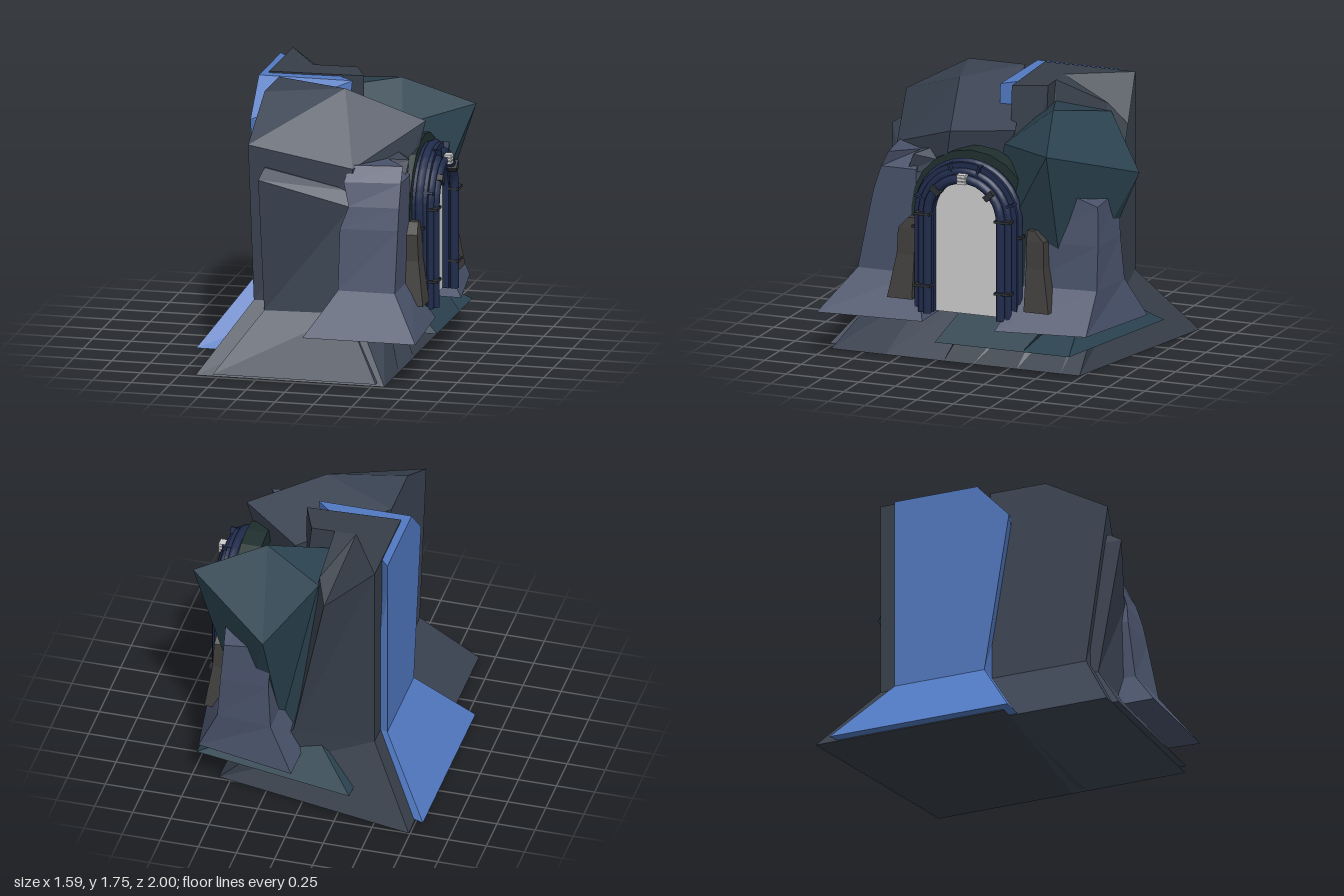
import * as THREE from 'three';

const mat = (color, smooth) => new THREE.MeshStandardMaterial({ color, flatShading: !smooth, side: THREE.DoubleSide });
const slate = mat(0x3b4453), darkSlate = mat(0x363e49), pale = mat(0x49526a), teal = mat(0x2a414e);
const blue = mat(0x5179c2), mossy = mat(0x1f2f2e), stone = mat(0x403e3c), iron = mat(0x2b2e34);
const navy = mat(0x202c4c), navyRound = mat(0x202c4c, true), grey = mat(0xcccccc);

function add(root, name, geometry, material) {
  const mesh = new THREE.Mesh(geometry, material);
  mesh.name = name;
  root.add(mesh);
}

// Ring of corners at one height, given as [x, z] or [x, z, own y]
const ring = (y, ...pts) => pts.map(([x, z, py = y]) => [x, py, z]);

// Faceted rock: joins rings from the ground up and closes both ends with a fan
function rock(rings, apex) {
  const out = [], n = rings[0].length;
  const centre = r => [0, 1, 2].map(k => r.reduce((s, p) => s + p[k], 0) / n);
  const tri = (...p) => p.forEach(q => out.push(...q));
  for (let r = 0; r + 1 < rings.length; r++) {
    const lo = rings[r], hi = rings[r + 1];
    for (let i = 0; i < n; i++) {
      const j = (i + 1) % n;
      tri(lo[i], lo[j], hi[j]);
      tri(lo[i], hi[j], hi[i]);
    }
  }
  const first = rings[0], last = rings[rings.length - 1];
  const low = centre(first), top = apex || centre(last);
  for (let i = 0; i < n; i++) {
    const j = (i + 1) % n;
    tri(first[j], first[i], low);
    tri(last[i], last[j], top);
  }
  const g = new THREE.BufferGeometry();
  g.setAttribute('position', new THREE.Float32BufferAttribute(out, 3));
  g.computeVertexNormals();
  return g;
}

// Arch outline: straight legs with a half circle on top
const SPRING = 1.0, FOOT = 0.35;
function archShape(r, inner) {
  const s = new THREE.Shape();
  s.moveTo(r, FOOT);
  s.lineTo(r, SPRING);
  s.absarc(0, SPRING, r, 0, Math.PI, false);
  s.lineTo(-r, FOOT);
  if (inner) {
    s.lineTo(-inner, FOOT);
    s.lineTo(-inner, SPRING);
    s.absarc(0, SPRING, inner, Math.PI, 0, true);
    s.lineTo(inner, FOOT);
  }
  s.closePath();
  return s;
}

function arch(r, inner, x0, x1, segments = 12) {
  return new THREE.ExtrudeGeometry(archShape(r, inner), { depth: x1 - x0, bevelEnabled: false, curveSegments: segments })
    .rotateY(Math.PI / 2).translate(x0, 0, 0);
}

function archTube(R, r, x) {
  const path = new THREE.CurvePath();
  const v = (y, z) => new THREE.Vector3(x, y, z);
  const arc = [];
  for (let i = 0; i <= 16; i++) {
    const a = Math.PI * i / 16;
    arc.push(v(SPRING + R * Math.sin(a), R * Math.cos(a)));
  }
  path.add(new THREE.LineCurve3(v(FOOT, R), arc[0]));
  for (let i = 0; i < 16; i++) path.add(new THREE.LineCurve3(arc[i], arc[i + 1]));
  path.add(new THREE.LineCurve3(arc[16], v(FOOT, -R)));
  return new THREE.TubeGeometry(path, 64, r, 8, false);
}

export function createModel() {
  const group = new THREE.Group(), rocks = new THREE.Group(), gate = new THREE.Group();
  rocks.name = 'rocks';
  gate.name = 'gate';
  group.add(rocks, gate);

  // Large rock masses with flared feet
  add(rocks, 'blueRock', rock([
    ring(0.01, [-0.8, -0.88], [-0.8, 0.35], [0.4, 0.35], [0.2, -0.5]),
    ring(0.44, [-0.48, -0.57], [-0.48, 0.05], [0.3, 0], [-0.3, -0.5]),
    ring(1.49, [-0.48, -0.57], [-0.48, 0.22], [0.1, 0.02, 1.42], [-0.42, -0.5]),
    ring(1.725, [-0.48, -0.57], [-0.48, 0], [0.13, 0], [-0.42, -0.5]),
  ]), blue);

  add(rocks, 'backRock', rock([
    ring(0, [-0.74, -1], [-0.74, 0.3], [0.58, 0.3], [0.58, 0], [0.58, -0.3], [0.58, -0.6], [0.58, -0.73]),
    ring(0.44, [-0.43, -0.69], [-0.43, -0.07], [0.2, -0.07], [0.22, -0.31], [0.18, -0.4], [0.12, -0.6], [0.1, -0.7]),
    ring(1.735, [-0.43, -0.69], [-0.43, -0.07], [0.18, -0.1], [0.09, -0.31], [-0.06, -0.3], [-0.06, -0.66, 1.62], [-0.12, -0.77, 1.48]),
  ], [-0.2, 1.735, -0.3]), darkSlate);

  add(rocks, 'frontRock', rock([
    ring(0, [-0.65, 0.3], [-0.65, 0.6], [-0.65, 0.97], [0.58, 0.97], [0.58, 0.6], [0.58, 0.2]),
    ring(0.44, [-0.34, 0.03], [-0.34, 0.4], [-0.34, 0.69], [0.3, 0.66], [0.42, 0.35], [0.34, 0.02]),
    ring(1.73, [-0.34, 0.03], [-0.34, 0.41], [-0.34, 0.84, 1.49], [0.29, 0.64, 1.32], [0.64, 0.13, 1.53], [0.24, -0.15, 1.46]),
  ], [0.15, 1.745, 0.27]), slate);

  add(rocks, 'tealRock', rock([
    ring(0.16, [-0.33, -0.93], [-0.33, 0.15], [0.73, 0.2], [0.73, -0.4], [0.73, -0.72]),
    ring(0.42, [0, -0.62], [0, 0], [0.45, 0.05], [0.45, -0.58], [0.2, -0.62]),
    ring(1.5, [-0.06, -0.68, 1.57], [-0.06, -0.3, 1.6], [0.42, -0.15, 1.42], [0.79, -0.59, 1.47], [0.22, -0.99, 1.27]),
  ], [0.34, 1.65, -0.45]), teal);

  // Buttress against the front rock
  add(rocks, 'frontButtress', rock([
    ring(0.02, [-0.53, 0.4], [-0.53, 1], [0.53, 1], [0.53, 0.4]),
    ring(0.39, [-0.26, 0.45], [-0.26, 0.74], [0.27, 0.7], [0.27, 0.45]),
    ring(1.28, [-0.26, 0.5], [-0.26, 0.9], [0.29, 0.68, 1.08], [0.29, 0.5, 1.08]),
    ring(1.34, [-0.26, 0.5], [-0.24, 0.81], [0.29, 0.62, 1.17], [0.29, 0.5, 1.17]),
  ]), slate);

  // Pillars on both sides of the gate
  add(rocks, 'leftPillar', rock([
    ring(0.29, [0.05, 0.3], [0.05, 0.985], [0.785, 0.985], [0.74, 0.28]),
    ring(0.56, [0.23, 0.45], [0.23, 0.78], [0.6, 0.78], [0.6, 0.38]),
    ring(0.95, [0.23, 0.45], [0.23, 0.73], [0.6, 0.7], [0.6, 0.38]),
    ring(1.09, [0.28, 0.42], [0.28, 0.7], [0.6, 0.67], [0.6, 0.38]),
    ring(1.24, [0.23, 0.4], [0.24, 0.67], [0.6, 0.62], [0.6, 0.38]),
    ring(1.34, [0.27, 0.4], [0.27, 0.62], [0.6, 0.57], [0.46, 0.4]),
  ]), pale);
  add(rocks, 'leftPillarCap', rock([
    ring(1.22, [0.3, 0.3], [0.3, 0.45], [0.58, 0.45], [0.58, 0.32]),
    ring(1.34, [0.3, 0.26, 1.3], [0.3, 0.42], [0.6, 0.4], [0.56, 0.25, 1.31]),
  ], [0.5, 1.37, 0.31]), slate);
  add(rocks, 'rightPillar', rock([
    ring(0.29, [0.04, -0.97], [0.04, -0.28], [0.78, -0.23], [0.69, -0.82]),
    ring(0.56, [0.2, -0.88], [0.2, -0.42], [0.61, -0.36], [0.56, -0.84]),
    ring(0.85, [0.22, -0.86], [0.22, -0.42], [0.61, -0.38], [0.54, -0.84]),
    ring(1.27, [0.2, -0.84, 1.14], [0.25, -0.42], [0.6, -0.42], [0.52, -0.83, 1.1]),
  ]), pale);

  // Mossy hood, door panel and moulded frame
  add(gate, 'hood', arch(0.41, 0.3, 0.47, 0.605, 5), mossy);
  add(gate, 'doorPanel', arch(0.24, 0, 0.65, 0.66), grey);
  add(gate, 'frame', arch(0.35, 0.22, 0.6, 0.7), navy);
  [[0.34, 0.03, 0.65], [0.295, 0.025, 0.71], [0.25, 0.03, 0.73]].forEach(([R, r, x]) =>
    add(gate, 'frameRib', archTube(R, r, x), navyRound));

  // Iron bands, clamps and side stones on both sides
  for (const s of [1, -1]) {
    for (const y of [0.53, 1.0])
      add(gate, 'band', new THREE.BoxGeometry(0.11, 0.016, 0.11).translate(0.71, y, s * 0.275), iron);
    add(gate, 'outerBand', new THREE.BoxGeometry(0.07, 0.016, 0.05).translate(0.655, 0.89, s * 0.35), iron);
    add(gate, 'clamp', new THREE.BoxGeometry(0.06, 0.07, 0.04).translate(0.74, 0.245, 0)
      .rotateX(s * 0.84).translate(0, SPRING, 0), iron);
    for (const a of [0.3, 1.25])
      add(gate, 'archBand', new THREE.BoxGeometry(0.1, 0.07, 0.015).translate(0.685, 0.32, 0)
        .rotateX(s * a).translate(0, SPRING, 0), navy);
    // Corner order flips with the side so faces keep pointing outward
    const shift = s > 0 ? 0 : 0.045;
    const side = (y, ...p) => ring(y, ...(s > 0 ? p : p.reverse()).map(([x, z]) => [x, s * (z + shift)]));
    add(gate, 'sideStone', rock([
      side(0.42, [0.54, 0.36], [0.54, 0.53], [0.72, 0.53], [0.72, 0.36]),
      side(0.7, [0.56, 0.36], [0.56, 0.48], [0.68, 0.48], [0.68, 0.36]),
      side(0.87, [0.56, 0.36], [0.56, 0.475], [0.67, 0.475], [0.67, 0.36]),
      side(0.94, [0.58, 0.36], [0.58, 0.41], [0.66, 0.41], [0.66, 0.36]),
    ]), stone);
  }
  // Keystone of three stacked slats
  for (const y of [1.235, 1.257, 1.279])
    add(gate, 'keystoneSlat', new THREE.BoxGeometry(0.05, 0.018, 0.06).translate(0.755, y, 0), grey);
  return group;
}
